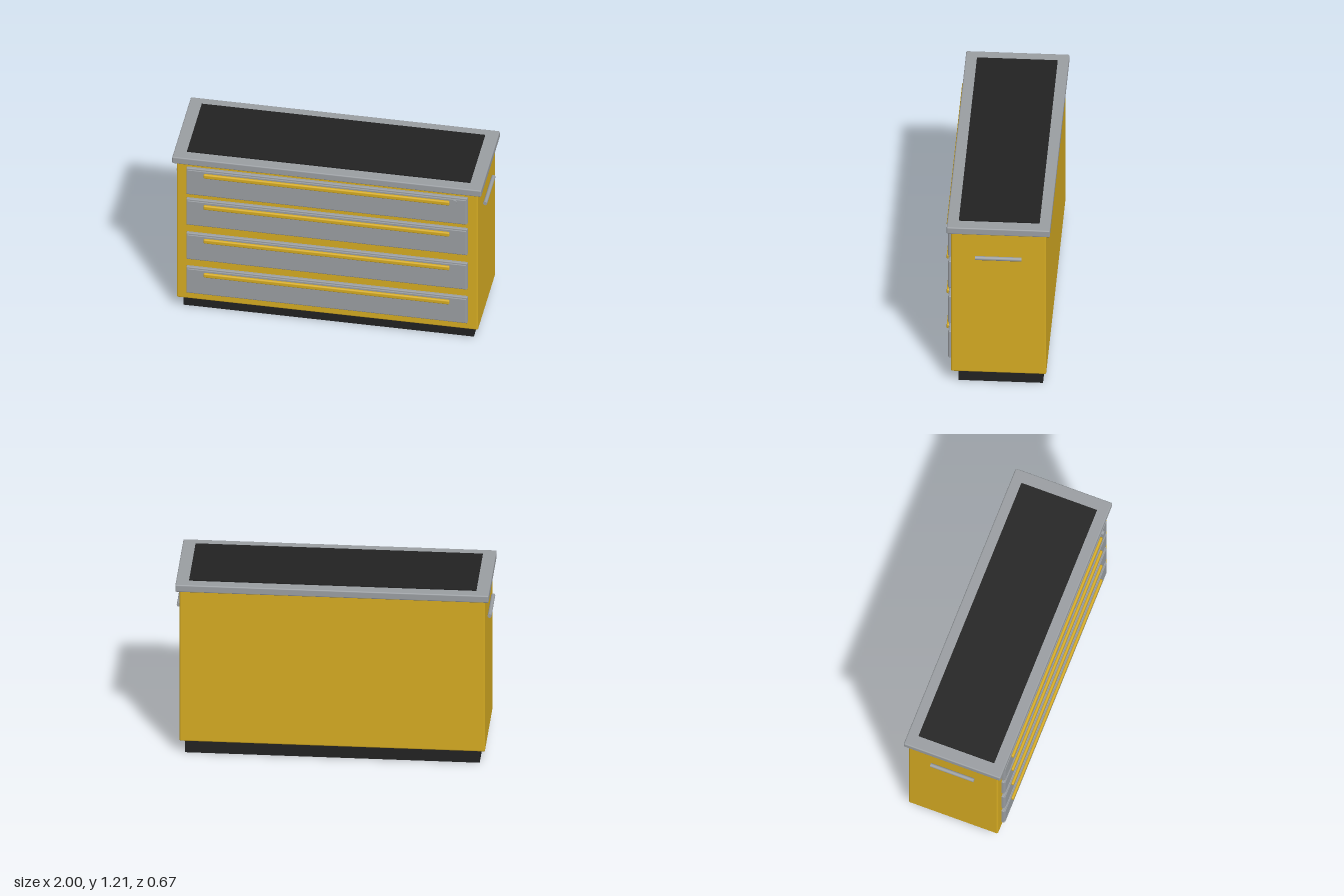
import * as THREE from 'three';
import { RoundedBoxGeometry } from 'three/addons/geometries/RoundedBoxGeometry.js';

export function createModel() {
  const material = (name, color) => {
    const m = new THREE.MeshStandardMaterial({ color });
    m.name = name;
    return m;
  };
  const yellow = material('yellow paint', 0xd4aa22);
  const grey = material('grey metal', 0x999da1);
  const black = material('black rubber', 0x222222);

  const model = new THREE.Group();
  model.name = 'drawerCabinet';

  const add = (name, geometry, mat, x, y, z, parent = model) => {
    const mesh = new THREE.Mesh(geometry, mat);
    mesh.name = name;
    mesh.position.set(x, y, z);
    parent.add(mesh);
    return mesh;
  };
  // Box given by its width and its y and z limits, centred on x = 0
  const block = (name, mat, w, y0, y1, z0, z1, r = 0, parent = model) => {
    const h = y1 - y0, d = z1 - z0;
    const g = r ? new RoundedBoxGeometry(w, h, d, 3, r) : new THREE.BoxGeometry(w, h, d);
    return add(name, g, mat, 0, (y0 + y1) / 2, (z0 + z1) / 2, parent);
  };

  // Plinth, cabinet, worktop and mat
  block('plinth', black, 1.87, 0, 0.1, -0.285, 0.25);
  block('cabinetBody', yellow, 1.94, 0.088, 1.155, -0.307, 0.297, 0.01);
  block('worktop', grey, 1.99, 1.155, 1.205, -0.332, 0.323, 0.008);
  block('topMat', black, 1.824, 1.2, 1.213, -0.262, 0.25);

  // Four drawers: backing panel with a lip above the front plate, and a long pull
  const drawers = [[0.145, 0.35, 0.307], [0.41, 0.617, 0.575], [0.68, 0.885, 0.84], [0.92, 1.127, 1.085]];
  drawers.forEach(([bottom, top, pullY], i) => {
    const drawer = new THREE.Group();
    drawer.name = `drawer${i + 1}`;
    model.add(drawer);
    block('drawerPanel', grey, 1.81, bottom, top, 0.29, 0.316, 0.006, drawer);
    block('drawerFront', grey, 1.796, bottom + 0.006, top - 0.013, 0.305, 0.32, 0.004, drawer);
    block('drawerPull', yellow, 1.584, pullY - 0.016, pullY + 0.016, 0.316, 0.336, 0.009, drawer);
  });

  // Lock on the top drawer
  const lock = add('lock', new THREE.CylinderGeometry(0.017, 0.017, 0.018, 24), grey, 0.823, 1.097, 0.324);
  lock.rotation.x = Math.PI / 2;

  // Grab rail on each side
  for (const side of [-1, 1]) {
    const rail = add('sideRail', new THREE.CylinderGeometry(0.013, 0.013, 0.294, 20), grey, side * 0.987, 0.975, -0.005);
    rail.rotation.x = Math.PI / 2;
  }
  return model;
}
